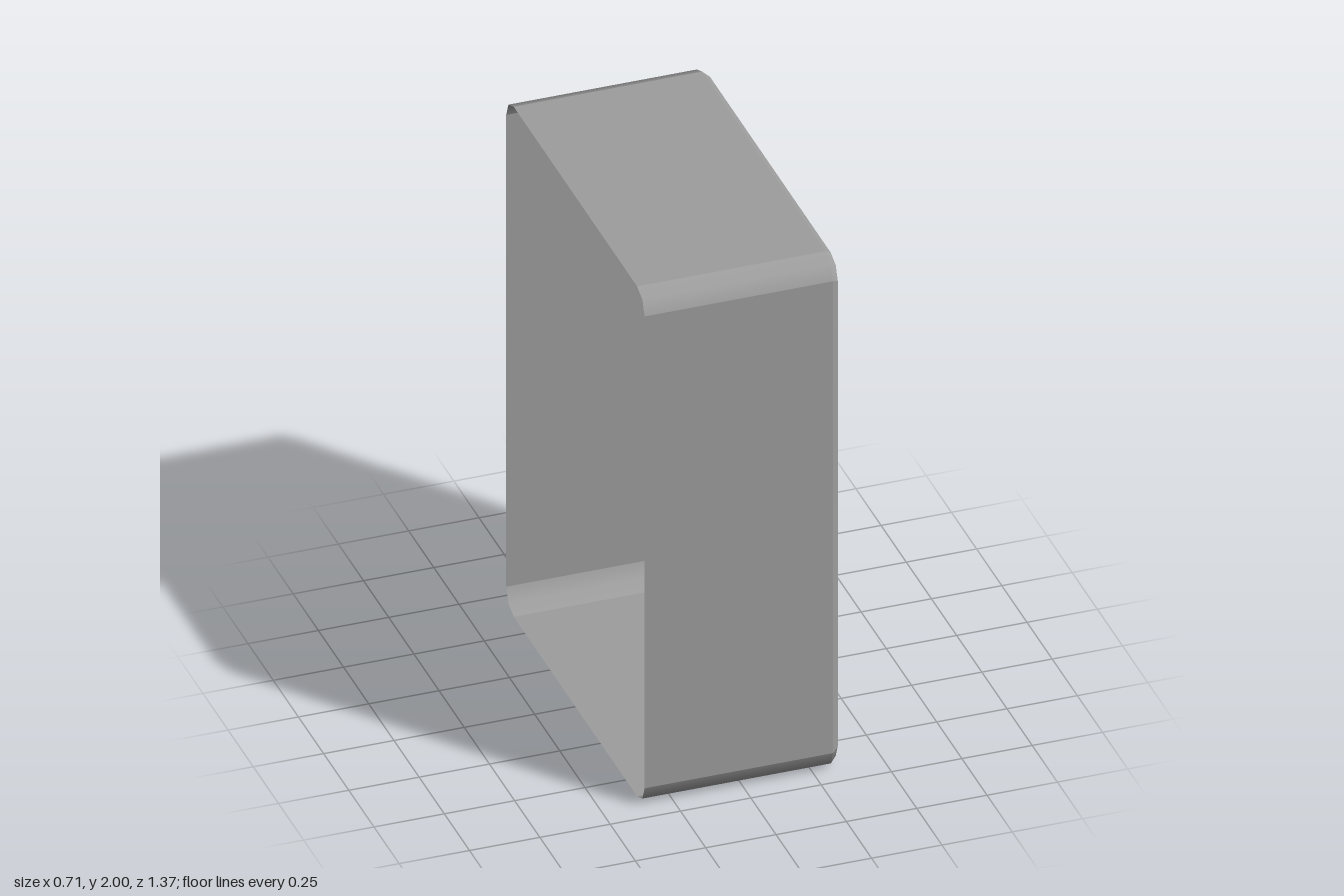
import * as THREE from 'three';
import { toCreasedNormals } from 'three/addons/utils/BufferGeometryUtils.js';

const material = new THREE.MeshStandardMaterial({ color: 0x9d9d9d, side: THREE.DoubleSide });

// Corner stations in eighths of a quarter turn: [position, normal].
// The ends are doubled so the flat sides stay crisp beside the smooth corners.
const STATIONS = [[0, 0], [0, 2], [4, 4], [8, 6], [8, 8]];

// Rounded rectangle in the zy plane: points and outward radial directions
function ringPoints([x, hz, hy, r]) {
  const pts = [];
  [[1, 1], [-1, 1], [-1, -1], [1, -1]].forEach(([sz, sy], corner) => {
    for (const [at, facing] of STATIONS) {
      const a = (corner + at / 8) * Math.PI / 2;
      const n = (corner + facing / 8) * Math.PI / 2;
      pts.push({
        x,
        y: 1 + sy * (hy - r) + r * Math.sin(a),
        z: sz * (hz - r) + r * Math.cos(a),
        ny: Math.sin(n),
        nz: Math.cos(n),
      });
    }
  });
  return pts;
}

// Skin between consecutive rings, with a crisp edge between bands
function loftRings(rings) {
  const pos = [], nor = [], idx = [];
  for (let b = 0; b < rings.length - 1; b++) {
    const base = pos.length / 3;
    const dx = rings[b + 1][0] - rings[b][0];
    const dr = rings[b + 1][1] - rings[b][1];
    const len = Math.hypot(dx, dr);
    const pair = [ringPoints(rings[b]), ringPoints(rings[b + 1])];
    const n = pair[0].length;
    for (const ring of pair) for (const p of ring) {
      pos.push(p.x, p.y, p.z);
      nor.push(-dr / len, p.ny * dx / len, p.nz * dx / len);
    }
    for (let k = 0; k < n; k++) {
      // Skip the zero-width strips between doubled points
      if (k % 5 === 0 || k % 5 === 3) continue;
      const a = base + k, c = base + (k + 1) % n;
      idx.push(a, a + n, c, c, a + n, c + n);
    }
  }
  const g = new THREE.BufferGeometry();
  g.setAttribute('position', new THREE.Float32BufferAttribute(pos, 3));
  g.setAttribute('normal', new THREE.Float32BufferAttribute(nor, 3));
  g.setIndex(idx);
  return g;
}

export function createModel() {
  const model = new THREE.Group();
  model.name = 'windowBox';

  const add = (name, geometry) => {
    const mesh = new THREE.Mesh(geometry, material);
    mesh.name = name;
    model.add(mesh);
    return mesh;
  };

  // Rings are [x, half depth, half height, corner radius]
  const bevel = [0.315, 0.687, 1, 0.075];
  const faceOuter = [0.338, 0.669, 0.982, 0.07];
  const faceInner = [0.338, 0.594, 0.861, 0.065];
  const ledgeOuter = [0.288, 0.574, 0.833, 0.06];
  const ledgeInner = [0.288, 0.542, 0.789, 0.06];
  const floor = [0.16, 0.511, 0.739, 0.058];

  // Outer case, open at the -x side
  add('case', loftRings([[-0.355, 0.687, 1, 0.075], bevel]));

  // Bevelled border, stepped rebate and sloping recess walls
  add('frame', loftRings([bevel, faceOuter, faceInner]));
  add('rebate', loftRings([faceInner, ledgeOuter, ledgeInner]));
  add('recessWalls', loftRings([ledgeInner, floor]));

  // Flat panel at the bottom of the recess
  add('recessPanel', loftRings([floor, [floor[0], 0, 0, 0]]));

  // Three faceted hinge barrels along one side of the recess
  const barrel = toCreasedNormals(
    new THREE.CylinderGeometry(0.014, 0.014, 0.152, 6, 1, false, Math.PI / 6), 0.5);
  [0.42, 0.99, 1.56].forEach((y, i) => {
    add('hinge' + (i + 1), barrel).position.set(0.341, y, 0.583);
  });

  return model;
}
